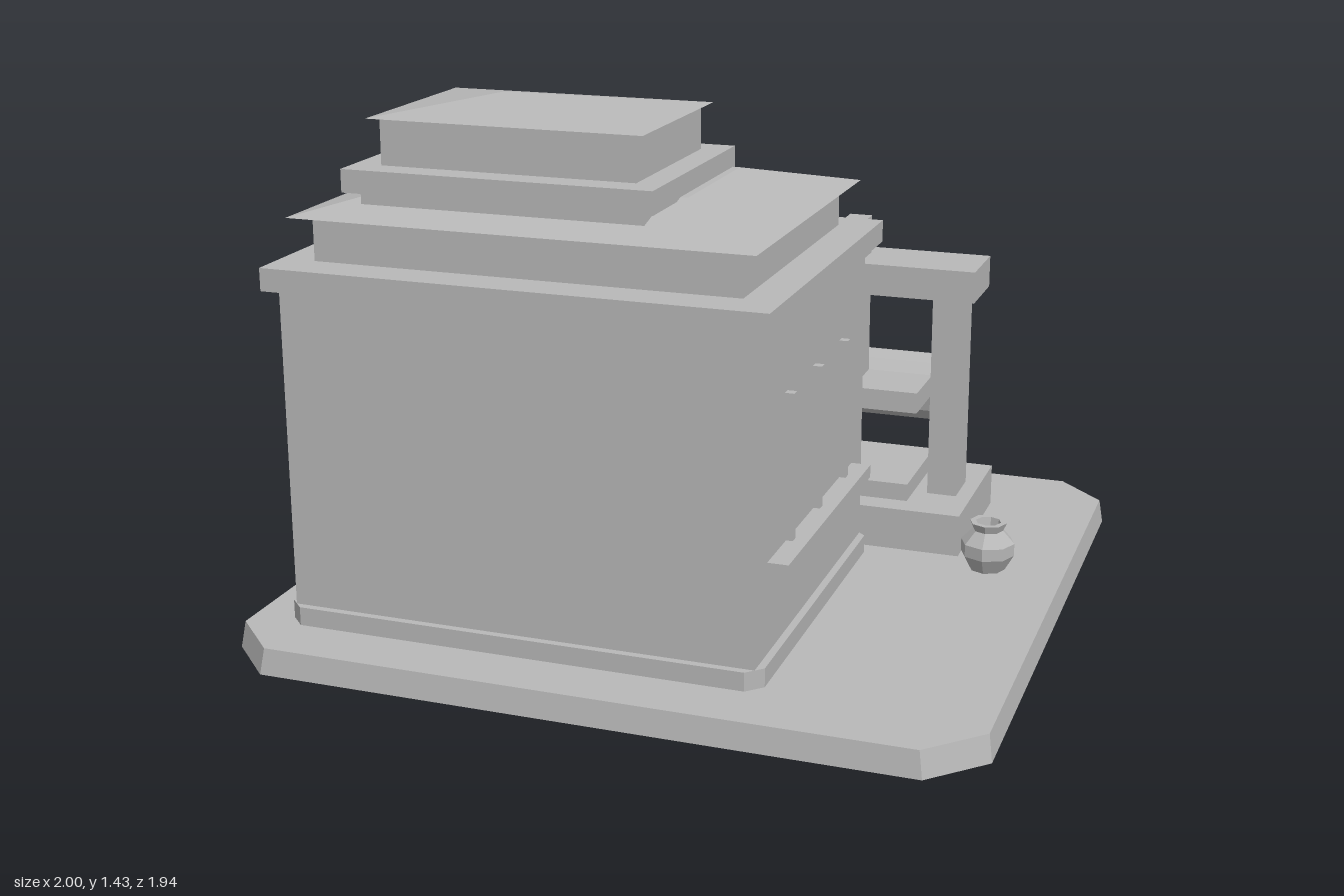
import * as THREE from 'three';

const stone = new THREE.MeshStandardMaterial({ color: 0xb8b8b8, flatShading: true, side: THREE.DoubleSide });
stone.name = 'grey stone';

export function createModel() {
  const model = new THREE.Group();

  function add(name, geometry, x = 0, y = 0, z = 0) {
    const mesh = new THREE.Mesh(geometry, stone);
    mesh.name = name;
    mesh.position.set(x, y, z);
    model.add(mesh);
    return mesh;
  }

  // Box given by its bounds; the top can be drawn in to make a hipped roof
  function block(name, x0, x1, y0, y1, z0, z1, insetX = 0, insetZ = 0) {
    const w = x1 - x0, h = y1 - y0, d = z1 - z0;
    const g = new THREE.BoxGeometry(w, h, d);
    const p = g.attributes.position;
    for (let i = 0; i < p.count; i++) {
      if (p.getY(i) < 0) continue;
      p.setX(i, p.getX(i) * (1 - 2 * insetX / w));
      p.setZ(i, p.getZ(i) * (1 - 2 * insetZ / d));
    }
    g.computeVertexNormals();
    return add(name, g, (x0 + x1) / 2, (y0 + y1) / 2, (z0 + z1) / 2);
  }

  // Slab with cut corners and slightly sloping sides, open underneath
  function cutSlab(name, hx, hz, cut, y0, y1, taper, cx, cz) {
    const ring = (a, b, c, y) => [[a, b - c], [a - c, b], [c - a, b], [-a, b - c],
      [-a, c - b], [c - a, -b], [a - c, -b], [a, c - b]].map(([x, z]) => [x, y, z]);
    const lo = ring(hx, hz, cut, y0), hi = ring(hx - taper, hz - taper, cut, y1);
    const v = [];
    for (let i = 0; i < 8; i++) {
      const j = (i + 1) % 8;
      v.push(...lo[i], ...hi[j], ...lo[j], ...lo[i], ...hi[i], ...hi[j]);
      v.push(...hi[i], 0, y1, 0, ...hi[j]);
    }
    // reverse each triangle so that the faces point outwards
    for (let t = 0; t < v.length; t += 9) {
      for (let k = 0; k < 3; k++) [v[t + 3 + k], v[t + 6 + k]] = [v[t + 6 + k], v[t + 3 + k]];
    }
    const g = new THREE.BufferGeometry();
    g.setAttribute('position', new THREE.Float32BufferAttribute(v, 3));
    g.computeVertexNormals();
    return add(name, g, cx, 0, cz);
  }

  function pot(name, profile, sides, x, y, z) {
    const points = profile.map(([r, h]) => new THREE.Vector2(r, h));
    add(name, new THREE.LatheGeometry(points, sides), x, y, z);
  }

  // Ground slab and main hall
  cutSlab('groundSlab', 1, 0.97, 0.135, 0, 0.07, 0.01, 0, 0);
  cutSlab('plinth', 0.65, 0.51, 0.04, 0.04, 0.12, 0, -0.23, 0.29);
  block('hallWalls', -0.86, 0.40, 0.07, 0.97, -0.2, 0.78);
  block('cornice', -0.895, 0.44, 0.97, 1.03, -0.23, 0.81);
  block('attic', -0.8, 0.34, 1.03, 1.15, -0.136, 0.70);

  // Lower roof, lantern storey and upper roof
  block('lowerRoof', -0.845, 0.39, 1.15, 1.217, -0.172, 0.756, 0.26, 0.26);
  block('lanternBase', -0.685, 0.075, 1.175, 1.21, 0.105, 0.655);
  block('lanternLedge', -0.72, 0.11, 1.21, 1.27, 0.07, 0.69);
  block('lantern', -0.645, 0.04, 1.27, 1.39, 0.14, 0.615);
  block('upperRoof', -0.675, 0.065, 1.39, 1.433, 0.115, 0.635, 0.265, 0.26);

  // Side window slits and sills
  for (const z of [0.045, 0.295, 0.54]) block('leftSlit', 0.39, 0.425, 0.375, 0.76, z - 0.012, z + 0.012);
  block('leftSill', 0.39, 0.455, 0.33, 0.365, -0.095, 0.685);
  for (const z of [0.08, 0.29, 0.5]) block('rightSlit', -0.885, -0.85, 0.395, 0.73, z - 0.012, z + 0.012);
  block('rightSill', -0.915, -0.85, 0.355, 0.385, -0.04, 0.625);

  // Rear shelf with small cups
  block('rearLedge', -0.12, 0.325, 0.455, 0.485, -0.235, -0.19);
  block('rearShelf', -0.085, 0.285, 0.33, 0.375, -0.27, -0.19);
  for (const x of [-0.01, 0.1, 0.21]) {
    pot('cup', [[0, 0], [0.012, 0], [0.008, 0.03], [0.02, 0.05], [0.017, 0.065]], 8, x, 0.375, -0.25);
  }

  // Rear porch
  block('porchFloor', -0.765, -0.28, 0.04, 0.09, -0.44, -0.15);
  for (const x of [-0.69, -0.355]) {
    for (const z of [-0.375, -0.215]) block('porchPost', x - 0.02, x + 0.02, 0.09, 0.545, z - 0.02, z + 0.02);
  }
  block('porchRoof', -0.745, -0.3, 0.54, 0.635, -0.425, -0.15, 0.14, 0.1374);

  // Press frame with roller
  block('pressBase', -0.065, 0.68, 0.07, 0.19, -0.695, -0.235);
  block('pressBed', 0.1, 0.51, 0.19, 0.24, -0.65, -0.31);
  for (const x of [-0.015, 0.55]) block('pressPost', x, x + 0.085, 0.19, 0.78, -0.53, -0.395);
  block('pressBeam', -0.065, 0.675, 0.78, 0.87, -0.57, -0.36);
  block('pressScrew', 0.275, 0.34, 0.5, 0.98, -0.5, -0.43);
  block('pressPlate', 0.08, 0.53, 0.455, 0.515, -0.605, -0.315);
  add('roller', new THREE.CylinderGeometry(0.1, 0.1, 0.53, 12), 0.305, 0.458, -0.582).rotation.z = Math.PI / 2;

  // Faceted jar
  pot('jar', [[0, 0], [0.05, 0], [0.075, 0.045], [0.075, 0.08], [0.042, 0.115], [0.052, 0.138], [0.035, 0.138], [0.03, 0.11], [0, 0.1]],
    8, 0.775, 0.07, -0.18);

  return model;
}
